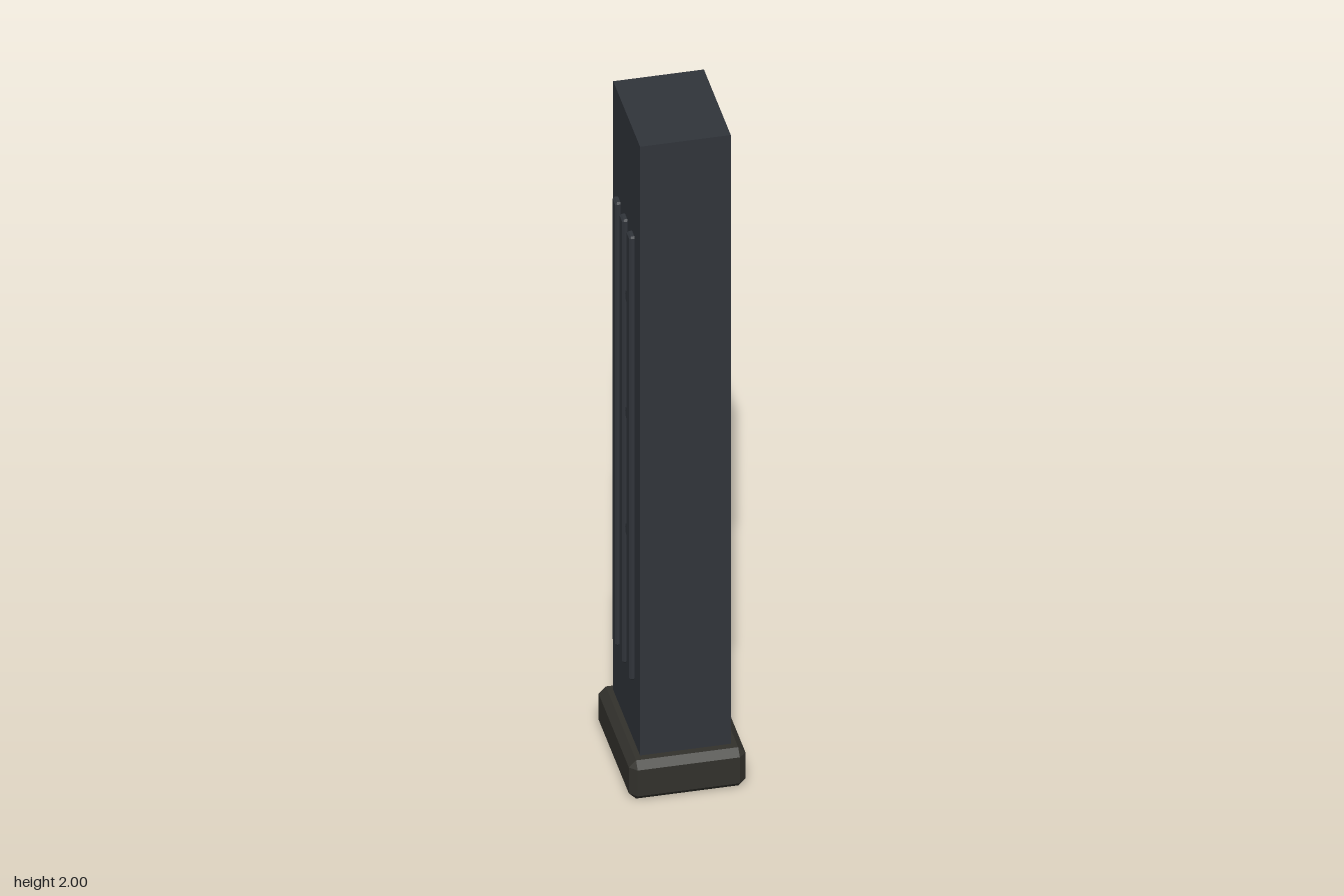
import * as THREE from 'three';
import { ConvexGeometry } from 'three/addons/geometries/ConvexGeometry.js';

const bodyMat = new THREE.MeshStandardMaterial({ color: 0x30343a, flatShading: true });
const baseMat = new THREE.MeshStandardMaterial({ color: 0x32312c, flatShading: true });

// Box with every edge cut by a flat bevel of width c
function chamferBox(w, h, d, c) {
  const pts = [];
  for (const sx of [-1, 1]) for (const sy of [-1, 1]) for (const sz of [-1, 1]) {
    const x = w / 2, y = h / 2, z = d / 2;
    pts.push(
      new THREE.Vector3(sx * x, sy * (y - c), sz * (z - c)),
      new THREE.Vector3(sx * (x - c), sy * y, sz * (z - c)),
      new THREE.Vector3(sx * (x - c), sy * (y - c), sz * z)
    );
  }
  return new ConvexGeometry(pts);
}

export function createModel() {
  const group = new THREE.Group();
  const add = (name, geometry, material, x, y, z) => {
    const mesh = new THREE.Mesh(geometry, material);
    mesh.name = name;
    mesh.position.set(x, y, z);
    group.add(mesh);
    return mesh;
  };

  // Tall rectangular body
  add('body', new THREE.BoxGeometry(0.238, 1.9, 0.306), bodyMat, 0, 1.05, 0);

  // Bevelled base plate
  add('basePlate', chamferBox(0.306, 0.118, 0.383, 0.019), baseMat, 0, 0.059, 0);

  // Raised ribs and small round studs, mirrored on both sides
  const ribGeo = chamferBox(0.036, 1.37, 0.036, 0.005);
  const studGeo = new THREE.CylinderGeometry(0.02, 0.02, 0.03, 8);
  studGeo.rotateZ(Math.PI / 2);
  for (const side of [-1, 1]) {
    const label = side > 0 ? 'left' : 'right';
    for (const z of [-0.086, -0.006, 0.074]) {
      add(label + 'Rib', ribGeo, bodyMat, side * 0.115, 0.995, z);
    }
    for (const y of [0.75, 1.11, 1.47]) {
      add(label + 'Stud', studGeo, bodyMat, side * 0.116, y, 0.056);
    }
  }
  return group;
}
